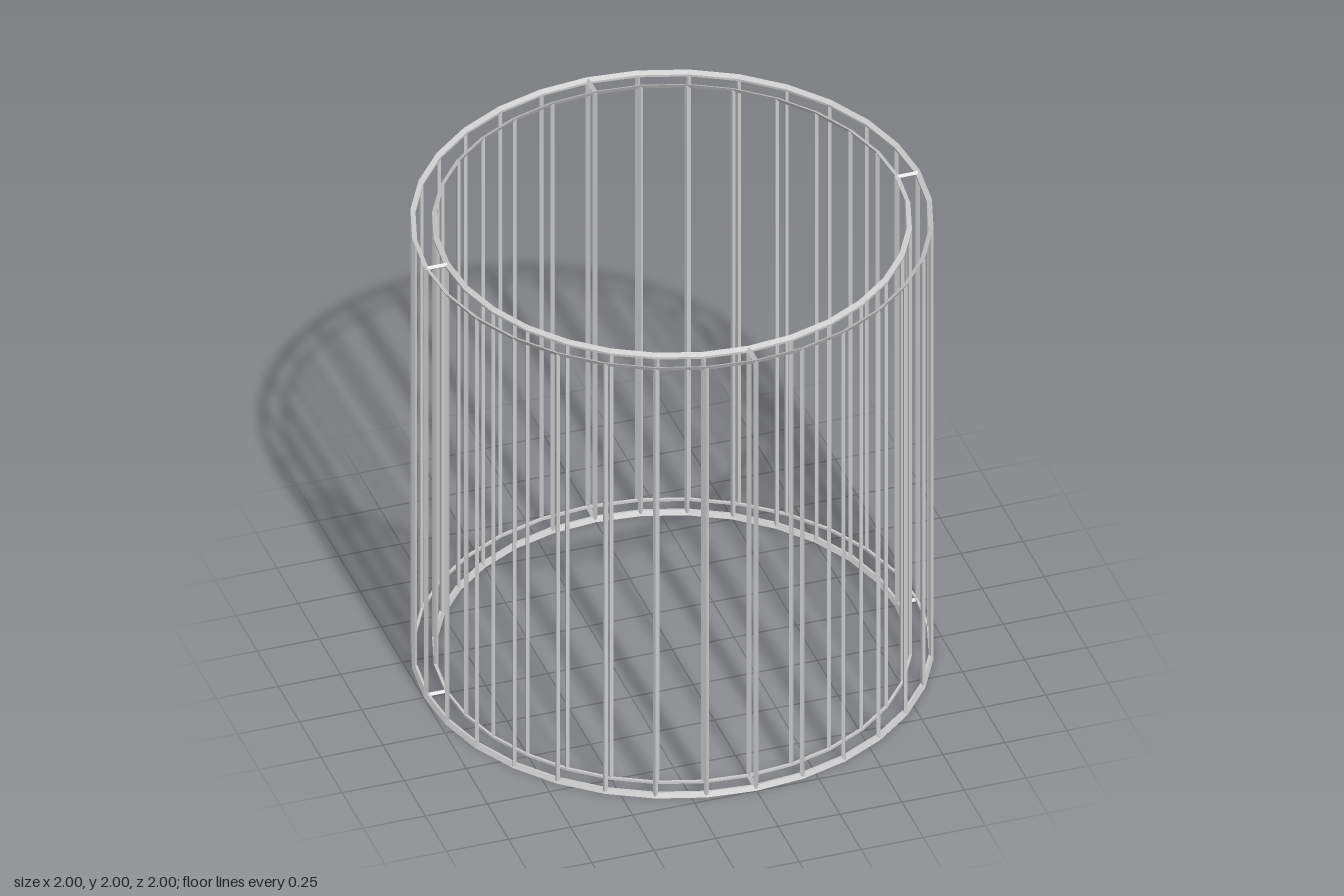
import * as THREE from 'three';

const SIDES = 32;
const OUTER = 0.99, INNER = 0.907;    // wall radii
const LOW = 0.01, HIGH = 1.99;        // ring heights
const W = 0.01, D = 0.0095;           // half-widths of the diamond-section bars

export function createModel() {
  const model = new THREE.Group();
  model.name = 'roundCage';
  const material = new THREE.MeshStandardMaterial({ color: 0xcccccc, flatShading: true });

  const add = (parent, name, geometry) => {
    const mesh = new THREE.Mesh(geometry, material);
    mesh.name = name;
    parent.add(mesh);
    return mesh;
  };

  // Ring with a slanted diamond section; s and c point to the outside of the wall corner
  const ring = (name, r, y, s, c) => {
    const profile = [[s * D, c * D], [-s * W, 0], [-s * D, -c * D], [0, -c * W], [s * D, c * D]]
      .map(([a, b]) => new THREE.Vector2(r + a, y + b));
    if (s * c < 0) profile.reverse();
    add(model, name, new THREE.LatheGeometry(profile, SIDES));
  };
  ring('outerTopRing', OUTER, HIGH, 1, 1);
  ring('outerBottomRing', OUTER, LOW, 1, -1);
  ring('innerTopRing', INNER, HIGH, -1, 1);
  ring('innerBottomRing', INNER, LOW, -1, -1);

  // Upright posts at every corner of both walls
  const postGeometry = new THREE.CylinderGeometry(1, 1, HIGH - LOW, 4).scale(W, 1, D);
  for (const [name, r] of [['outerPost', OUTER], ['innerPost', INNER]]) {
    const posts = new THREE.Group();
    posts.name = name + 's';
    model.add(posts);
    for (let i = 0; i < SIDES; i++) {
      const a = (i / SIDES) * Math.PI * 2;
      const post = add(posts, name, postGeometry);
      post.position.set(r * Math.sin(a), (LOW + HIGH) / 2, r * Math.cos(a));
      post.rotation.y = a;
    }
  }

  // Four radial spokes joining the walls, top and bottom
  const spokeGeometry = new THREE.CylinderGeometry(1, 1, OUTER - INNER, 4)
    .scale(W, 1, D).rotateX(Math.PI / 2);
  const mid = (OUTER + INNER) / 2;
  for (const y of [LOW, HIGH]) {
    for (let i = 0; i < 4; i++) {
      const a = (i * Math.PI) / 2;
      const spoke = add(model, 'spoke', spokeGeometry);
      spoke.position.set(mid * Math.sin(a), y, mid * Math.cos(a));
      spoke.rotation.y = a;
    }
  }
  return model;
}
